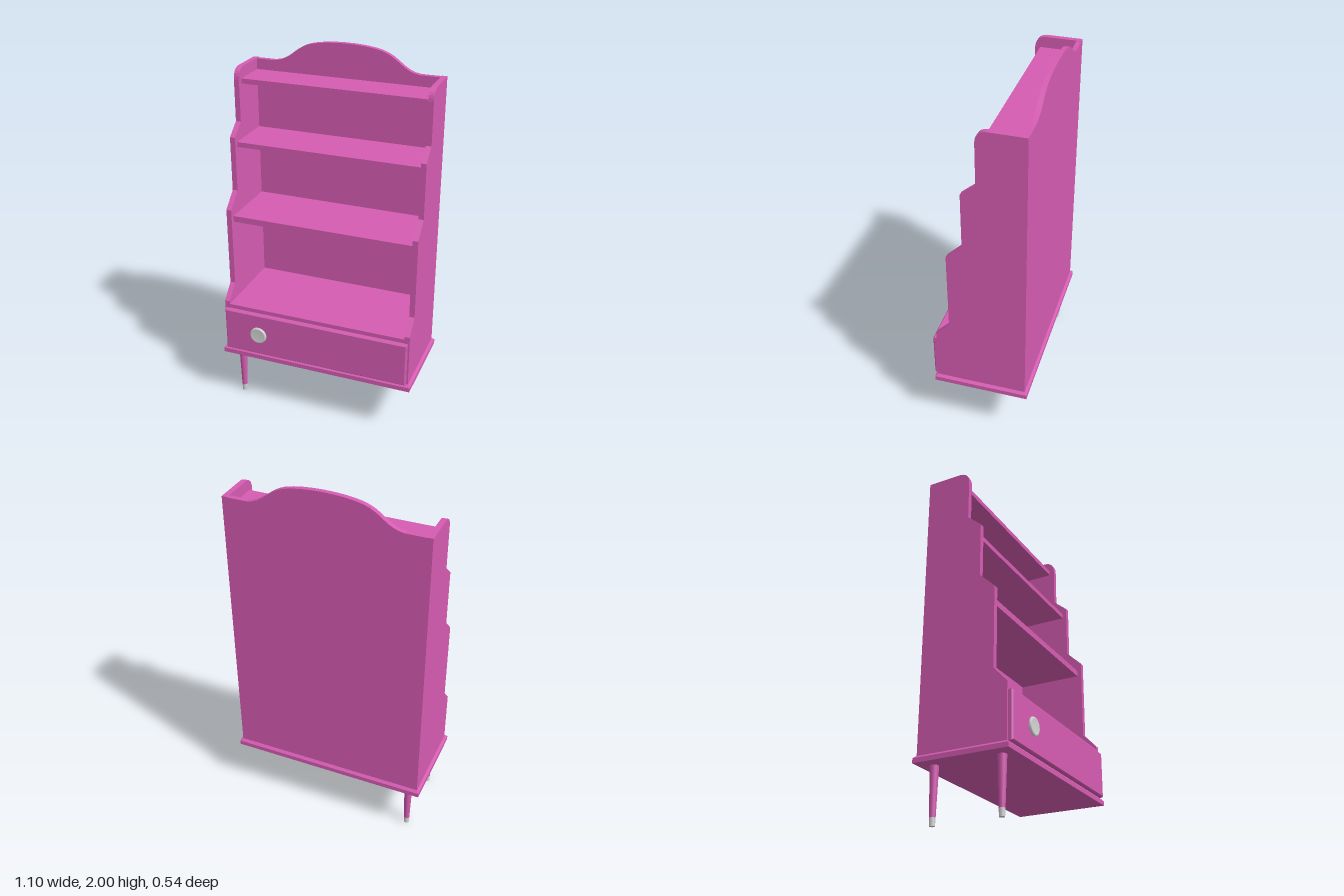
import * as THREE from 'three';

const pink = new THREE.MeshStandardMaterial({ color: 0xd65cb2 });
pink.name = 'pink paint';
const silver = new THREE.MeshStandardMaterial({ color: 0xd6d6d6 });
silver.name = 'silver metal';

// Slab lying flat, its top edges chamfered
function chamferedSlab(w, h, d, inset, drop) {
  const geo = new THREE.BoxGeometry(w, h, d, 1, 2, 1).toNonIndexed();
  const p = geo.attributes.position;
  for (let i = 0; i < p.count; i++) {
    const y = p.getY(i);
    if (Math.abs(y) < 1e-5) p.setY(i, h / 2 - drop);
    else if (y > 0) {
      p.setX(i, p.getX(i) - Math.sign(p.getX(i)) * inset);
      p.setZ(i, p.getZ(i) - Math.sign(p.getZ(i)) * inset);
    }
  }
  geo.computeVertexNormals();
  return geo;
}

export function createModel() {
  const group = new THREE.Group();
  const add = (name, geo, mat, x, y, z) => {
    const mesh = new THREE.Mesh(geo, mat);
    mesh.name = name;
    mesh.position.set(x, y, z);
    group.add(mesh);
    return mesh;
  };

  // Base board
  add('base', chamferedSlab(1.096, 0.037, 0.513, 0.012, 0.012), pink, 0, 0.3085, -0.0115);

  // Stepped side panels, drawn in (z, y)
  const side = new THREE.Shape();
  side.moveTo(-0.254, 0.325);
  [[0.229, 0.325], [0.229, 0.62], [0.155, 0.70], [0.155, 1.142], [0.07, 1.225],
    [0.07, 1.525], [-0.007, 1.59], [-0.007, 1.815]].forEach(([z, y]) => side.lineTo(z, y));
  side.quadraticCurveTo(-0.009, 1.872, -0.062, 1.877);
  side.lineTo(-0.254, 1.877);
  const sideGeo = new THREE.ExtrudeGeometry(side, { depth: 0.029, bevelEnabled: false, curveSegments: 6 });
  sideGeo.rotateY(-Math.PI / 2);
  add('leftSide', sideGeo, pink, 0.534, 0, 0);
  add('rightSide', sideGeo, pink, -0.505, 0, 0);

  // Back panel with a curved crest
  const back = new THREE.Shape();
  back.moveTo(-0.505, 0.325);
  back.lineTo(0.505, 0.325);
  back.lineTo(0.505, 1.875);
  back.lineTo(0.4, 1.875);
  back.bezierCurveTo(0.31, 1.885, 0.29, 1.95, 0.2, 1.978);
  back.bezierCurveTo(0.1, 2.007, -0.1, 2.007, -0.2, 1.978);
  back.bezierCurveTo(-0.29, 1.95, -0.31, 1.885, -0.4, 1.875);
  back.lineTo(-0.505, 1.875);
  add('backPanel', new THREE.ExtrudeGeometry(back, { depth: 0.026, bevelEnabled: false, curveSegments: 8 }),
    pink, 0, 0, -0.254);

  // Shelves: bottom, top, front edge
  [[0.58, 0.603, 0.229], [1.066, 1.1, 0.131], [1.467, 1.494, 0.046], [1.79, 1.817, -0.035]]
    .forEach(([y0, y1, front], i) => {
      const depth = front + 0.24;
      add('shelf' + (i + 1), new THREE.BoxGeometry(1.03, y1 - y0, depth), pink,
        0, (y0 + y1) / 2, front - depth / 2);
    });

  // Drawer front and its knob
  const drawer = chamferedSlab(1.05, 0.025, 0.25, 0.006, 0.006);
  drawer.rotateX(Math.PI / 2);
  add('drawerFront', drawer, pink, 0, 0.454, 0.2405);
  const knob = new THREE.LatheGeometry([[0.04, 0], [0.048, 0.003], [0.048, 0.01], [0.044, 0.015],
    [0.036, 0.015], [0.033, 0.013], [0, 0.013]].map(([r, y]) => new THREE.Vector2(r, y)), 28);
  knob.rotateX(Math.PI / 2);
  add('drawerKnob', knob, silver, -0.323, 0.456, 0.253);

  // Tapered legs with metal tips, on one side only
  for (const [name, z] of [['front', 0.17], ['back', -0.196]]) {
    add(name + 'Leg', new THREE.CylinderGeometry(0.0225, 0.0155, 0.255, 20), pink, -0.467, 0.1675, z);
    add(name + 'LegTip', new THREE.CylinderGeometry(0.0155, 0.014, 0.04, 20), silver, -0.467, 0.02, z);
  }
  return group;
}
